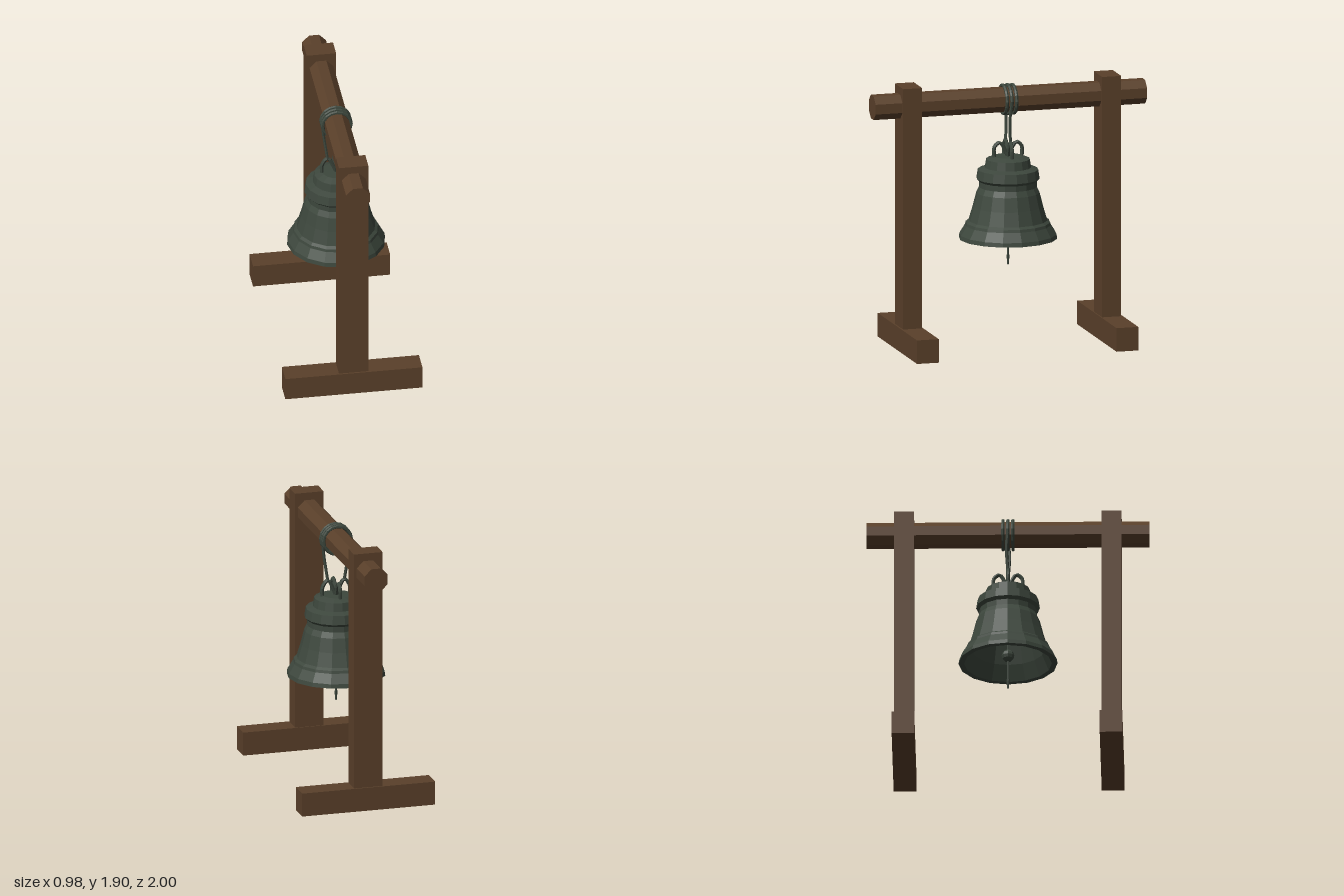
import * as THREE from 'three';

export function createModel() {
  const group = new THREE.Group();
  const wood = new THREE.MeshStandardMaterial({ color: 0x5a402a, flatShading: true });
  wood.name = 'brown wood';
  const bronze = new THREE.MeshStandardMaterial({ color: 0x3d473d, flatShading: true, side: THREE.DoubleSide });
  bronze.name = 'aged bronze';

  const add = (name, geometry, material, x = 0, y = 0, z = 0) => {
    const mesh = new THREE.Mesh(geometry, material);
    mesh.name = name;
    mesh.position.set(x, y, z);
    group.add(mesh);
    return mesh;
  };
  const tube = (name, points, radius) => {
    const curve = new THREE.CatmullRomCurve3(points.map((p) => new THREE.Vector3(...p)));
    return add(name, new THREE.TubeGeometry(curve, 12, radius, 6), bronze);
  };

  // Two end frames: a broad post standing on a cross foot
  for (const [end, s] of [['front', 1], ['back', -1]]) {
    add(end + 'Foot', new THREE.BoxGeometry(0.98, 0.17, 0.16), wood, 0, 0.09, s * 0.735);
    add(end + 'Post', new THREE.BoxGeometry(0.21, 1.75, 0.14), wood, 0, 1.035, s * 0.733);
  }

  // Eight-sided log running through both posts
  const log = new THREE.CylinderGeometry(0.092, 0.092, 2, 8, 4);
  log.rotateY(Math.PI / 8);
  log.rotateX(Math.PI / 2);
  add('crossBeam', log, wood, 0, 1.77, 0);

  // Bell: outer wall, lip and inner wall in one profile
  const profile = [
    [0, 1.36], [0.1, 1.36], [0.155, 1.34], [0.165, 1.28], [0.215, 1.265],
    [0.225, 1.2], [0.205, 1.18], [0.205, 1.14], [0.225, 1.1], [0.25, 1.0],
    [0.28, 0.9], [0.3, 0.885], [0.305, 0.865], [0.345, 0.8], [0.35, 0.77],
    [0.31, 0.77], [0.26, 0.88], [0.2, 1.1], [0.18, 1.24], [0, 1.3],
  ].map(([r, y]) => new THREE.Vector2(r, y)).reverse();
  add('bell', new THREE.LatheGeometry(profile, 16), bronze);

  // Crown loops on top of the bell
  for (const s of [-1, 1]) {
    tube('crownLoop', [[0, 1.34, s * 0.1], [0, 1.43, s * 0.1], [0, 1.46, s * 0.06], [0, 1.4, s * 0.02], [0, 1.35, 0]], 0.014);
    tube('crownLoop', [[s * 0.1, 1.34, 0], [s * 0.1, 1.42, 0], [s * 0.06, 1.47, 0], [s * 0.02, 1.4, 0], [0, 1.35, 0]], 0.014);
    // Hanging strands
    tube('hangingStrand', [[s * 0.1, 1.76, 0], [s * 0.085, 1.64, s * 0.01], [s * 0.06, 1.46, 0]], 0.011);
  }

  // Rope turns around the beam
  for (const z of [-0.035, 0, 0.035]) {
    add('beamBinding', new THREE.TorusGeometry(0.102, 0.013, 6, 16), bronze, 0, 1.77, z);
  }

  // Clapper rod with a small weight
  add('clapperRod', new THREE.CylinderGeometry(0.006, 0.006, 0.72, 6), bronze, 0, 0.94, 0);
  add('clapperWeight', new THREE.SphereGeometry(0.045, 8, 6), bronze, 0, 0.83, 0);
  add('clapperTip', new THREE.CylinderGeometry(0.012, 0.005, 0.07, 6), bronze, 0, 0.61, 0);

  return group;
}
